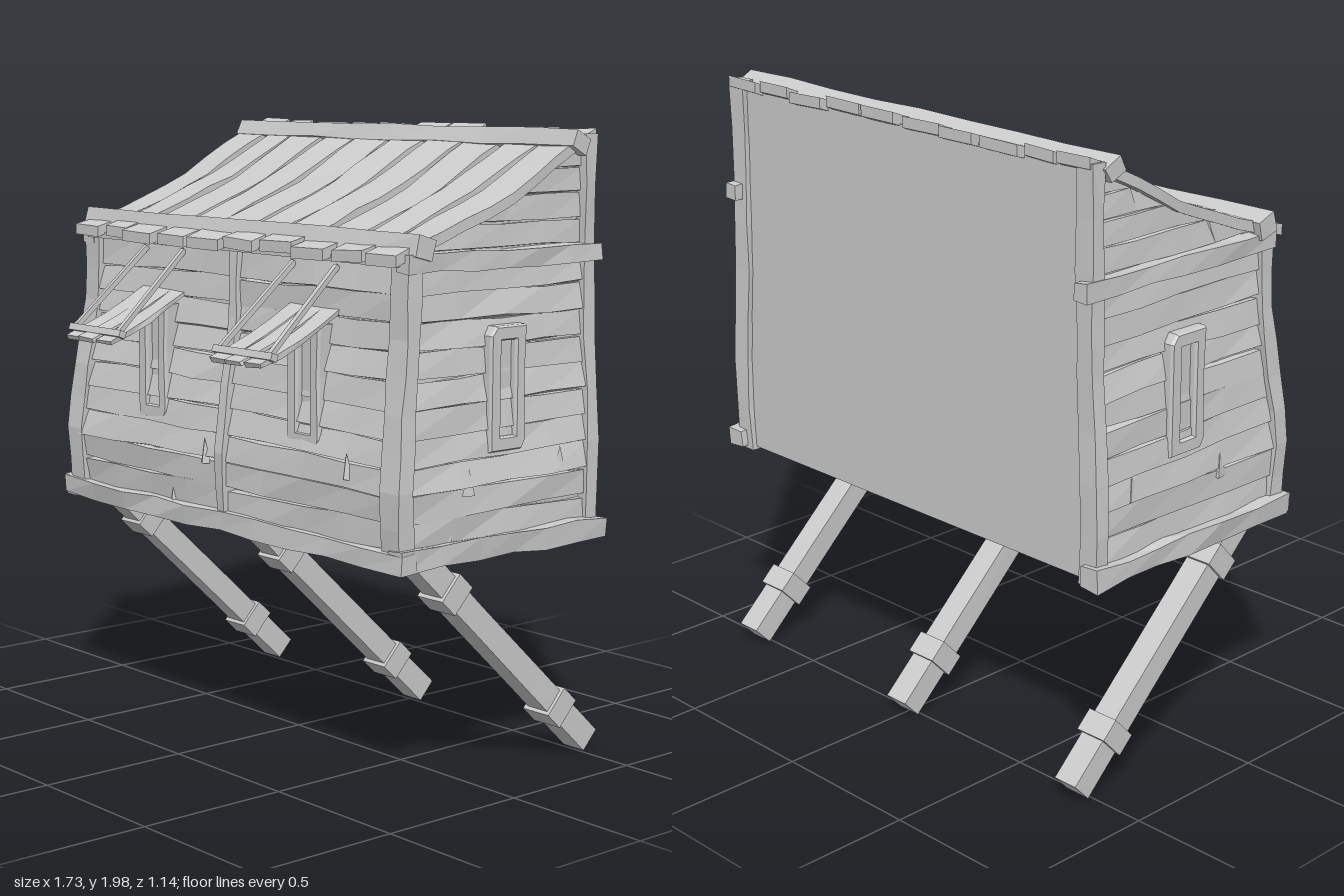
import * as THREE from 'three';

const material = new THREE.MeshStandardMaterial({ color: 0xcccccc, flatShading: true, side: THREE.DoubleSide });
const V = (x, y, z) => new THREE.Vector3(x, y, z);

// Seeded noise in -1..1
const noise = (n) => {
  const s = Math.sin(n * 12.9898 + 4.1) * 43758.5453;
  return (s - Math.floor(s)) * 2 - 1;
};

// Piecewise linear lookup in rows of [key, value], keys ascending
function lookup(rows, k) {
  if (k <= rows[0][0]) return rows[0][1];
  for (let i = 1; i < rows.length; i++) {
    const [k0, v0] = rows[i - 1], [k1, v1] = rows[i];
    if (k <= k1) return v0 + (v1 - v0) * (k - k0) / (k1 - k0);
  }
  return rows[rows.length - 1][1];
}

// Roof top line as [z, y], and the outward swelling of the walls as [y, amount]
const ROOF = [[-0.52, 1.975], [-0.39, 1.92], [-0.15, 1.79], [0.14, 1.68], [0.32, 1.63]];
const ROOF_BY_Y = ROOF.map(([z, y]) => [y, z]).reverse();
const SWELL = [[0.7, 0.05], [0.78, 0.055], [0.92, 0.07], [1.15, 0.04], [1.35, 0.008], [1.6, 0]];

function swell(v) {
  const b = lookup(SWELL, v.y);
  v.x += 0.5 * b * THREE.MathUtils.clamp(v.x / 0.78, -1, 1);
  v.z += b * THREE.MathUtils.clamp(v.z / 0.24, 0, 1);
}

function warp(geometry, rule) {
  const p = geometry.attributes.position, v = V(0, 0, 0);
  for (let i = 0; i < p.count; i++) {
    v.fromBufferAttribute(p, i);
    rule(v);
    p.setXYZ(i, v.x, v.y, v.z);
  }
  geometry.computeVertexNormals();
  return geometry;
}

export function createModel() {
  const model = new THREE.Group();
  let seed = 1;

  function add(name, geometry, parent = model) {
    const mesh = new THREE.Mesh(geometry, material);
    mesh.name = name;
    parent.add(mesh);
    return mesh;
  }

  // Rough-hewn beam from a to b: w across, h high, optional roll, wobble and final shaping rule
  function beam(name, a, b, w, h, { segs = 1, rough = 0, roll = 0, rule = null, parent = model } = {}) {
    const g = new THREE.BoxGeometry(w, h, a.distanceTo(b), 1, 1, segs);
    const s = seed++ * 7.31;
    warp(g, (v) => {
      const k = s + v.x * 31 + v.y * 57 + v.z * 13;
      v.x += rough * noise(k);
      v.y += rough * noise(k + 2.7);
    });
    const o = new THREE.Object3D();
    o.position.copy(a);
    o.lookAt(b);
    o.rotateZ(roll);
    o.position.lerp(b, 0.5);
    o.updateMatrix();
    g.applyMatrix4(o.matrix);
    if (rule) warp(g, rule);
    return add(name, g, parent);
  }

  // Solid core with flat back and floor
  const core = new THREE.BoxGeometry(1.53, 0.88, 0.72, 4, 10, 2);
  core.translate(0, 1.15, -0.14);
  add('houseCore', warp(core, swell));

  // Gable block under the curved roof
  const gable = new THREE.Shape();
  gable.moveTo(0.5, 1.56);
  for (const [z, y] of ROOF.slice(0, 4)) gable.lineTo(-Math.max(z, -0.5), y - 0.035);
  gable.lineTo(-0.22, 1.62);
  gable.lineTo(-0.22, 1.56);
  const gableGeo = new THREE.ExtrudeGeometry(gable, { depth: 1.53, bevelEnabled: false });
  gableGeo.translate(0, 0, -0.765);
  gableGeo.rotateY(Math.PI / 2);
  add('gableCore', gableGeo);

  // Wall planks on the front and both sides
  const rows = 10, step = 0.083;
  for (let i = 0; i < rows; i++) {
    const y = 0.8 + i * step;
    for (const s of [-1, 1]) {
      const n = i * 3 + s;
      const dy = 0.008 * noise(n + 40);
      beam('frontPlank', V(s < 0 ? -0.75 : 0, y - dy, 0.234), V(s < 0 ? 0 : 0.75, y + dy, 0.234), 0.03, 0.08,
        { segs: 4, rough: 0.005, roll: -0.1 + 0.12 * noise(n), rule: swell });
      beam('sidePlank', V(s * 0.773, y - dy, -0.49), V(s * 0.773, y + dy, 0.23), 0.034, 0.08,
        { segs: 4, rough: 0.005, roll: s * (0.1 + 0.12 * noise(n + 9)), rule: swell });
    }
  }

  for (const s of [-1, 1]) {
    // Gable planks, trimmed along the roof
    for (let i = 0; i < 4; i++) {
      const y = 1.665 + i * 0.078;
      beam('gablePlank', V(s * 0.768, y, -0.49), V(s * 0.768, y, 0.2), 0.024, 0.072, {
        segs: 4, rough: 0.004, roll: s * 0.08,
        rule: (v) => { v.z = Math.min(v.z, lookup(ROOF_BY_Y, v.y + 0.035)); },
      });
    }
    // Corner posts, sills and eave beams
    beam('frontPost', V(s * 0.768, 0.72, 0.24), V(s * 0.768, 1.6, 0.24), 0.078, 0.05, { segs: 8, rough: 0.004, rule: swell });
    beam('backPost', V(s * 0.772, 0.7, -0.495), V(s * 0.772, 1.96, -0.495), 0.065, 0.045, { segs: 8, rough: 0.004, rule: swell });
    beam('sideSill', V(s * 0.8, 0.737, -0.54), V(s * 0.8, 0.737, 0.275), 0.06, 0.065, { segs: 6, rough: 0.008, rule: swell });
    beam('eaveBeam', V(s * 0.785, 1.595, -0.545), V(s * 0.785, 1.6, 0.27), 0.05, 0.055, { segs: 6, rough: 0.006 });
  }
  beam('frontSill', V(-0.83, 0.735, 0.25), V(0.83, 0.735, 0.25), 0.06, 0.06, { segs: 10, rough: 0.008, rule: swell });
  beam('centrePost', V(0, 0.74, 0.245), V(0, 1.6, 0.245), 0.036, 0.045, { segs: 8, rough: 0.003, rule: swell });

  // Slit windows: chipped frame with a recessed panel
  const frame = new THREE.Shape([[-0.07, -0.185], [0.055, -0.185], [0.07, -0.16], [0.064, 0.03], [0.07, 0.185], [-0.05, 0.185], [-0.07, 0.16]]
    .map(([x, y]) => new THREE.Vector2(x, y)));
  frame.holes.push(new THREE.Path([[-0.036, -0.15], [-0.036, 0.15], [0.036, 0.15], [0.036, -0.15]]
    .map(([x, y]) => new THREE.Vector2(x, y))));
  const frameGeo = new THREE.ExtrudeGeometry(frame, { depth: 0.045, bevelSize: 0.005, bevelThickness: 0.01, bevelSegments: 1 });
  function slitWindow(x, z, turn) {
    const w = new THREE.Group();
    w.name = 'window';
    add('windowFrame', frameGeo, w);
    add('windowPanel', new THREE.BoxGeometry(0.08, 0.31, 0.03), w).position.z = 0.015;
    w.position.set(x, 1.21, z);
    w.rotation.y = turn;
    model.add(w);
  }
  for (const s of [-1, 1]) {
    slitWindow(s * 0.382, 0.252, 0);
    slitWindow(s * 0.775, -0.127, s * Math.PI / 2);
  }

  // Propped awnings over the front windows
  for (const cx of [-0.38, 0.375]) {
    const awning = new THREE.Group();
    awning.name = 'awning';
    model.add(awning);
    for (const i of [-1, 0, 1]) {
      beam('awningSlat', V(cx + i * 0.074, 1.44, 0.25), V(cx + i * 0.083, 1.3, 0.57 - 0.01 * Math.abs(i)), 0.076, 0.014, {
        segs: 4, rough: 0.003, parent: awning,
        rule: (v) => { v.y -= 0.012 * Math.sin(Math.PI * (v.z - 0.25) / 0.32); },
      });
    }
    beam('awningBar', V(cx - 0.14, 1.325, 0.525), V(cx + 0.14, 1.325, 0.525), 0.025, 0.022, { roll: -0.4, parent: awning });
    for (const s of [-1, 1]) {
      beam('awningStrut', V(cx + s * 0.1, 1.575, 0.25), V(cx + s * 0.118, 1.325, 0.53), 0.016, 0.016, { parent: awning });
    }
  }

  // Roof: underlay plus bent boards with open grooves
  function roofSheet(name, x, w, t, drop, bend, front, back) {
    const g = new THREE.BoxGeometry(w, t, 1, 1, 1, 9);
    const s = seed++ * 3.7;
    add(name, warp(g, (v) => {
      const k = Math.round((v.z + 0.5) * 9);
      const z = back + (front - back) * k / 9;
      v.y += lookup(ROOF, z) - drop - t / 2 + bend * 0.4 * noise(s + k + (v.x > 0 ? 50 : 0));
      v.x += x + bend * Math.sin(k * 0.9 + s);
      v.z = z;
    }));
  }
  roofSheet('roofUnderlay', 0, 1.55, 0.02, 0.03, 0, 0.28, -0.5);
  const edges = [-0.81, -0.66, -0.525, -0.35, -0.19, -0.01, 0.155, 0.33, 0.5, 0.655, 0.81];
  for (let i = 0; i < 10; i++) {
    const w = edges[i + 1] - edges[i] - 0.022;
    roofSheet('roofBoard', (edges[i] + edges[i + 1]) / 2, w, 0.035, 0.004 * noise(i), 0.009, 0.31 + 0.012 * noise(i + 5), -0.525 + 0.012 * noise(i + 8));
  }
  beam('lowerRoofBeam', V(-0.825, 1.648, 0.215), V(0.825, 1.648, 0.215), 0.07, 0.062, { segs: 8, rough: 0.004, roll: -0.3 });
  beam('upperRoofBeam', V(-0.815, 1.935, -0.44), V(0.815, 1.935, -0.44), 0.065, 0.055, { segs: 8, rough: 0.004, roll: -0.45 });

  // Slanted support legs with bands
  const top = V(0, 0.745, 0.218), foot = V(0, 0.033, -0.54);
  for (const x of [-0.76, 0, 0.763]) {
    const at = (t) => top.clone().lerp(foot, t).setX(x);
    beam('supportLeg', at(0), at(1), 0.086, 0.08, { segs: 3, rough: 0.001 });
    for (const t of [0.2, 0.81]) beam('legBand', at(t - 0.035), at(t + 0.035), 0.11, 0.105);
  }

  // Splinters lifting from the front and side planks
  const chip = new THREE.ConeGeometry(0.03, 0.08, 3);
  for (const [x, y] of [[-0.61, 1.35], [0.59, 0.99], [-0.09, 0.95], [-0.27, 0.785], [0.16, 0.74], [-0.56, 0.745]]) {
    const c = add('splinter', chip);
    c.scale.z = 0.4;
    c.position.set(x, y, 0.25 + lookup(SWELL, y));
  }
  for (const s of [-1, 1]) for (const [z, y] of [[0.03, 0.94], [-0.36, 0.97], [0.1, 0.76]]) {
    const c = add('splinter', chip);
    c.scale.x = 0.4;
    c.position.set(s * (0.79 + 0.5 * lookup(SWELL, y)), y, z);
  }
  return model;
}
